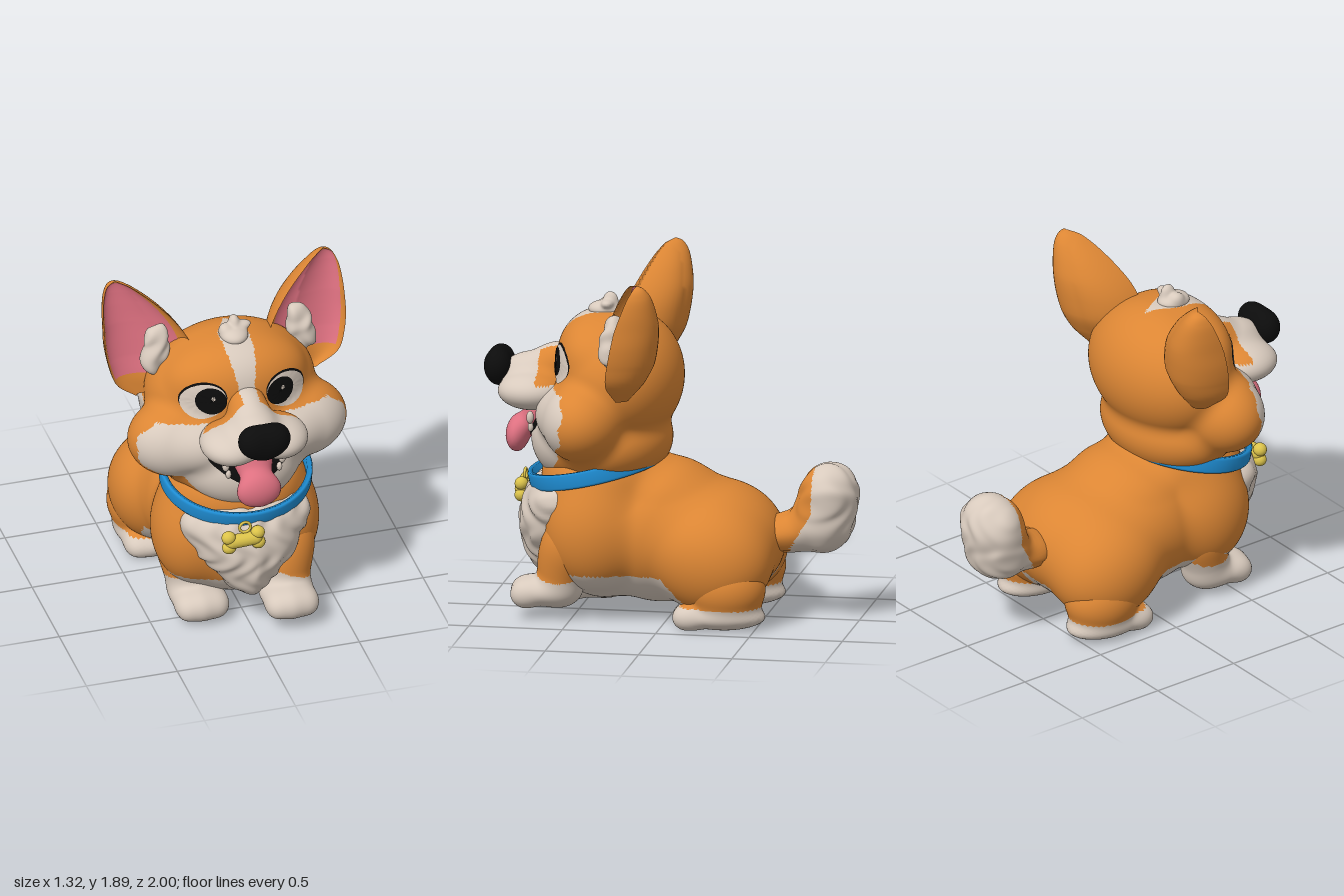
import * as THREE from 'three';
import { mergeVertices } from 'three/addons/utils/BufferGeometryUtils.js';
import { ParametricGeometry } from 'three/addons/geometries/ParametricGeometry.js';

const mat = (name, color) => Object.assign(new THREE.MeshStandardMaterial({ color }), { name });
const orange = mat('orange fur', 0xdc8634), white = mat('cream fur', 0xd8cabd), pink = mat('pink skin', 0xdd7080);
const black = mat('black', 0x0c0c0c), blue = mat('blue collar', 0x1f8fd6), yellow = mat('yellow tag', 0xdcc34a);

// Mirrors ellipsoids [x, y, z, rx, ry, rz] to both sides
const both = (...list) => list.flatMap(p => [p, [-p[0], ...p.slice(1)]]);

// Distance field of smoothly joined ellipsoids, with optional fur ripples
function field(prims, k = 0.05, fur = 0) {
  return (x, y, z) => {
    let d = 1e3;
    for (const [cx, cy, cz, a, b, c] of prims) {
      const px = (x - cx) / a, py = (y - cy) / b, pz = (z - cz) / c;
      const k0 = Math.hypot(px, py, pz), e = k0 * (k0 - 1) / (Math.hypot(px / a, py / b, pz / c) || 1e-9);
      const h = Math.max(k - Math.abs(d - e), 0) / k;
      d = Math.min(d, e) - h * h * k / 4;
    }
    if (fur) d -= fur * Math.sin(48 * x + 2 * Math.sin(22 * y)) * Math.sin(19 * y + 9 * z + 14 * Math.abs(x));
    return Math.max(d, -y);
  };
}

// Sphere whose vertices are drawn onto a field around a centre point
function blob(f, centre, detail, reach = 1) {
  const g = new THREE.IcosahedronGeometry(1, detail);
  g.deleteAttribute('normal');
  g.deleteAttribute('uv');
  const geo = mergeVertices(g, 1e-4), pos = geo.attributes.position, v = new THREE.Vector3();
  for (let i = 0; i < pos.count; i++) {
    v.fromBufferAttribute(pos, i).normalize();
    const at = t => f(centre[0] + v.x * t, centre[1] + v.y * t, centre[2] + v.z * t);
    let t = reach;
    while (t > 0.02 && at(t) > 0) t -= 0.01;
    let lo = t, hi = t + 0.01;
    for (let n = 0; n < 9; n++) { const m = (lo + hi) / 2; if (at(m) > 0) hi = m; else lo = m; }
    pos.setXYZ(i, centre[0] + v.x * lo, centre[1] + v.y * lo, centre[2] + v.z * lo);
  }
  geo.computeVertexNormals();
  return geo;
}

// Splits faces into orange (0) and cream (1) groups by a rule on their centres
function paint(geo, isWhite) {
  const p = geo.attributes.position, idx = geo.index.array, parts = [[], []];
  for (let i = 0; i < idx.length; i += 3) {
    const t = [idx[i], idx[i + 1], idx[i + 2]];
    const mid = n => (p[n](t[0]) + p[n](t[1]) + p[n](t[2])) / 3;
    parts[isWhite(mid('getX'), mid('getY'), mid('getZ')) ? 1 : 0].push(...t);
  }
  geo.setIndex(parts.flat());
  geo.addGroup(0, parts[0].length, 0);
  geo.addGroup(parts[0].length, parts[1].length, 1);
  return geo;
}

// Thin patch laid on the front of a field; map turns the unit disc into x, y
function decal(f, map, lift) {
  const geo = new THREE.RingGeometry(0.001, 1, 48, 6), pos = geo.attributes.position;
  for (let i = 0; i < pos.count; i++) {
    const [x, y] = map(pos.getX(i), pos.getY(i));
    let z = 1;
    while (z > 0.2 && f(x, y, z) > 0) z -= 0.002;
    pos.setXYZ(i, x, y, z + lift);
  }
  geo.computeVertexNormals();
  return geo;
}

// Ear rows: [x, y, half width] and [front z, back z]
const earMid = new THREE.CatmullRomCurve3([[.42, 1.24, .07], [.425, 1.35, .185], [.42, 1.45, .225], [.435, 1.55, .225],
  [.46, 1.65, .2], [.5, 1.75, .155], [.54, 1.83, .1], [.562, 1.875, .053], [.572, 1.893, .002]].map(a => new THREE.Vector3(...a)));
const earDepth = new THREE.CatmullRomCurve3([[.24, .16], [.31, .07], [.31, .02], [.29, 0], [.26, -.01], [.21, 0], [.16, .02],
  [.12, .05], [.09, .085]].map(a => new THREE.Vector3(a[0], a[1], 0)));
function earShell(side, t0, t1, v0, v1, lift, slices) {
  return new ParametricGeometry((u, v, out) => {
    const t = t0 + (t1 - t0) * (side > 0 ? u : 1 - u), w = v0 + (v1 - v0) * v;
    const m = earMid.getPoint(w), d = earDepth.getPoint(w), s = Math.sin(t), a = m.z * Math.cos(t);
    const depth = (d.x - d.y) * (s > 0 ? s : -0.5 * s);
    out.set(side * (m.x + a), m.y, d.x - 0.32 * Math.max(a, -0.05) - depth + lift);
  }, slices, 36);
}

export function createModel() {
  const model = new THREE.Group();
  const add = (name, geo, material, parent = model) => {
    const m = new THREE.Mesh(geo, material);
    m.name = name;
    parent.add(m);
    return m;
  };
  const coat = [orange, white];
  const ball = (name, material, p, r, parent) => {
    const m = add(name, new THREE.SphereGeometry(1, 20, 14), material, parent);
    m.position.set(...p);
    m.scale.set(...r);
  };

  // Torso with shoulders and hips
  const torso = field([[0, .405, -.2, .46, .325, .4], [0, .455, .06, .4, .385, .4], [0, .48, .36, .4, .4, .33], [0, .73, .36, .375, .26, .335],
    [0, .67, .05, .28, .14, .25], ...both([.24, .33, -.27, .25, .27, .3], [.26, .48, .38, .19, .3, .24])], 0.07);
  add('torso', paint(blob(torso, [0, .45, .1], 32, 1.1), (x, y, z) =>
    y < (z > 0 ? .265 : z > -.12 ? .265 + z * 1.1 : .13) || (Math.abs(x) < .12 && y < .25)), coat);

  // Chest fur, tapering to a point
  const chest = field([[0, .62, .57, .355, .16, .2], [0, .5, .59, .28, .2, .225], [0, .36, .59, .15, .18, .2]], 0.08, 0.008);
  add('chestFur', blob(chest, [0, .5, .58], 24, .6), white);

  // Front legs: the left one steps forward
  for (const [name, x, y, z] of [['leftFrontLeg', .21, .055, .63], ['rightFrontLeg', -.23, .01, .45]]) {
    const s = Math.sign(x);
    const leg = field([[x, y + .09, z, .145, .085, .17], [x + s * .02, y + .22, z - .08, .135, .2, .13], [x + s * .04, y + .34, z - .12, .145, .17, .14],
      [x - .08, y + .075, z + .11, .06, .065, .07], [x, y + .08, z + .12, .06, .07, .07], [x + .08, y + .075, z + .11, .06, .065, .07]], 0.055);
    add(name, paint(blob(leg, [x, y + .13, z - .03], 15, .6), (px, py) => py < .27 - s * (px - x) * .4), coat);
  }

  // Back legs
  for (const s of [1, -1]) {
    const leg = field([[s * .3, .065, -.31, .15, .07, .24], [s * .3, .21, -.34, .18, .18, .21],
      ...[-.08, 0, .08].map(o => [s * .3 + o, .06, -.15, .06, .06, .075])], 0.055);
    add(s > 0 ? 'leftBackLeg' : 'rightBackLeg', paint(blob(leg, [s * .3, .1, -.3], 15, .5), (x, y) => y < .12), coat);
  }

  // Tail
  const tail = field([[0, .46, -.62, .135, .105, .15], [0, .53, -.8, .175, .17, .17], [0, .67, -.84, .19, .175, .155]], 0.06, 0.006);
  add('tail', paint(blob(tail, [0, .57, -.8], 20, .6), (x, y, z) => z < -.77 + Math.max(0, .6 - y) * .6), coat);

  // Head
  const isWhite = (x, y, z) => z > .74 || (y < 1.25 && z > .5 + Math.max(0, 1.05 - y) * .4 + .012 * Math.sin(42 * y))
    || (y > 1.2 && Math.abs(x) < Math.min(.045 + Math.max(0, y - 1.45) * .2, (z - .17) * .5));
  const head = field([[0, 1.27, .28, .46, .36, .335], [0, 1.42, .4, .36, .2, .2], ...both([.33, 1.09, .42, .265, .215, .215], [.22, 1.1, .54, .19, .15, .15]),
    [0, .94, .5, .31, .24, .25], [0, .94, .33, .42, .25, .325]], 0.05);
  add('head', paint(blob(head, [0, 1.2, .3], 42), isWhite), coat);
  const muzzle = field([[0, 1.26, .72, .135, .125, .2], [0, 1.34, .6, .1, .1, .14], ...both([.13, 1.2, .73, .16, .1, .18])], 0.05);
  add('muzzle', paint(blob(muzzle, [0, 1.23, .7], 18, .5), (x, y, z) => z > .7 || isWhite(x, y, z)), coat);
  const nose = field([[0, 1.3, .93, .115, .105, .07], ...both([.07, 1.315, .925, .07, .078, .065])], 0.04);
  add('nose', blob(nose, [0, 1.3, .93], 10, .3), black);

  // Mouth, teeth and tongue
  add('mouth', decal(head, (u, v) => [u * .245, 1.12 + v * (v > 0 ? .05 : .21 * (1 - .35 * Math.abs(u)))], .006), black);
  for (const s of [1, -1]) for (const [x, y, r] of [[.155, 1.06, .02], [.14, 1.005, .015]])
    ball('tooth', white, [s * x, y, .735], [r, r * 1.7, r]);
  const tongue = field([[0, 1.07, .72, .105, .1, .06], [0, .935, .83, .12, .095, .06]], 0.12);
  add('tongue', blob(tongue, [0, 1, .775], 8, .4), pink);

  // Eyes in layers: lid line, white, pupil, glint
  for (const s of [1, -1]) {
    const disc = (cx, cy, rx, ry, tilt) => (u, v) => [s * (cx + rx * u), cy + ry * v - tilt * u];
    const layers = [['eyeOutline', black, .226, 1.38, .119, .1, .004, .015], ['eyeWhite', white, .226, 1.372, .115, .098, .007, .015],
      ['pupil', black, .19, 1.378, .08, .077, .010, 0], ['eyeGlint', white, .192 + s * .012, 1.395, .01, .012, .013, 0]];
    for (const [name, m, cx, cy, rx, ry, lift, tilt] of layers) {
      const geo = decal(head, disc(cx, cy, rx, ry, tilt), lift);
      if (s < 0) { geo.index.array.reverse(); geo.computeVertexNormals(); }
      add(name, geo, m);
    }
  }

  // Ears with pink lining and pale fur
  for (const s of [1, -1]) {
    add('ear', earShell(s, 0, Math.PI * 2, 0, 1, 0, 48), orange);
    add('earLining', earShell(s, Math.PI + .7, Math.PI * 2 - .38, .14, .93, .006, 24), pink);
    const fur = field([[s * .385, 1.59, .245, .06, .1, .06], [s * .415, 1.49, .26, .065, .09, .06]], 0.05, 0.01);
    add('earFur', blob(fur, [s * .4, 1.54, .25], 11, .3), white);
  }

  // Forelock
  const forelock = field([[0, 1.63, .36, .075, .045, .09], [.01, 1.675, .33, .03, .05, .04], [.06, 1.668, .34, .04, .02, .03],
    [-.045, 1.66, .35, .03, .03, .035]], 0.025);
  add('forelock', blob(forelock, [0, 1.64, .35], 10, .2), white);

  // Collar band
  const band = [[.95, -.04], [1.01, -.043], [1.03, -.03], [1.03, .03], [1.01, .043], [.95, .04], [.95, -.04]].map(p => new THREE.Vector2(...p));
  const collar = add('collar', new THREE.LatheGeometry(band, 72), blue);
  collar.position.set(0, .795, .4);
  collar.scale.set(.395, 1, .362);
  collar.rotation.x = .232;

  // Bone tag on a ring
  const tag = new THREE.Group();
  tag.name = 'boneTag';
  tag.position.set(-.08, .63, .81);
  tag.rotation.z = .05;
  add('tagRing', new THREE.TorusGeometry(.03, .008, 10, 24), yellow, tag).position.set(.015, .07, -.01);
  add('tagBar', new THREE.CapsuleGeometry(.038, .13, 6, 16).rotateZ(Math.PI / 2), yellow, tag);
  for (const x of [-.08, .08]) for (const y of [-.03, .03]) ball('tagKnob', yellow, [x, y, 0], [.038, .036, .036], tag);
  model.add(tag);
  return model;
}
